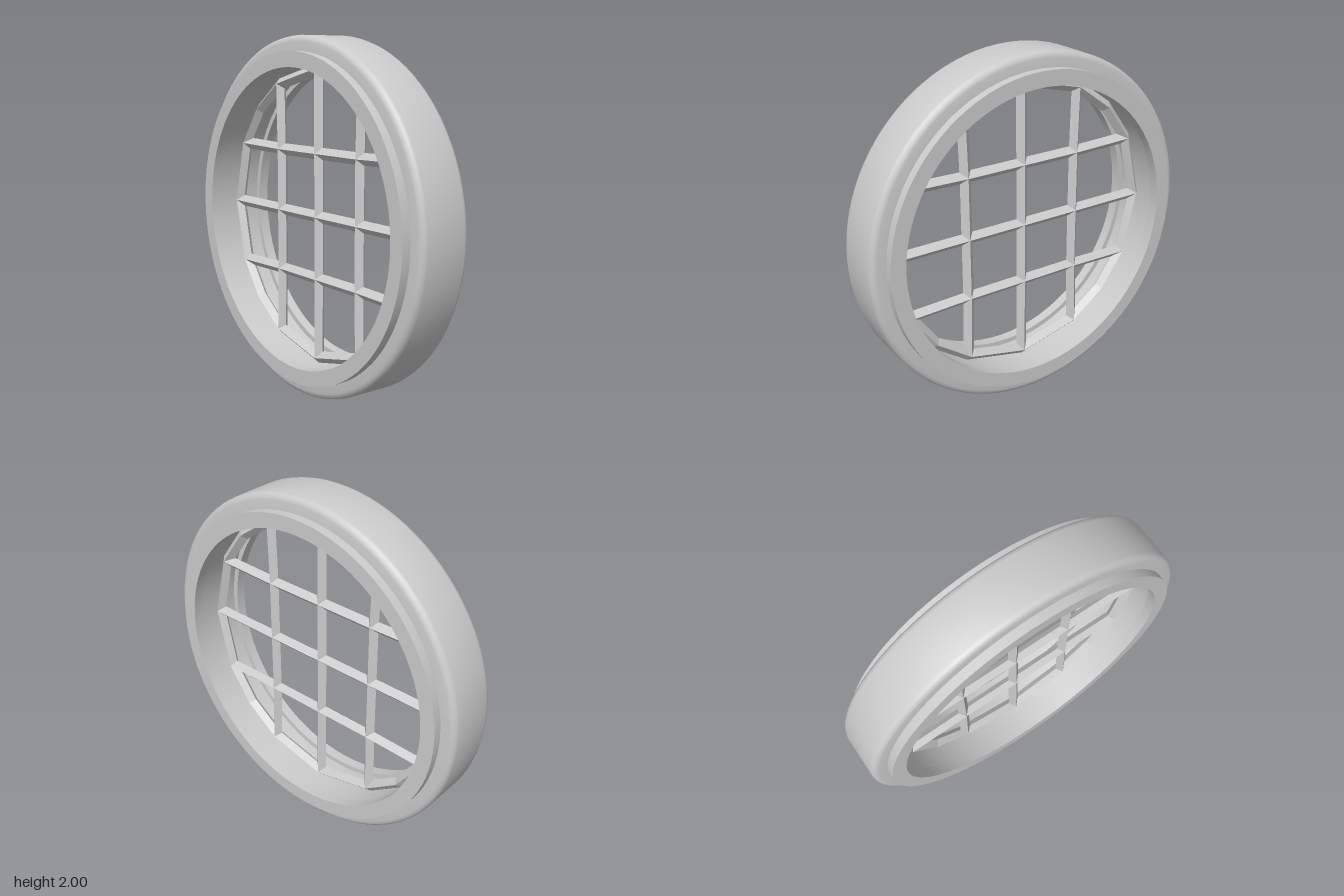
import * as THREE from 'three';
import { toCreasedNormals } from 'three/addons/utils/BufferGeometryUtils.js';

const SEGMENTS = 96;
const BAR = 0.034; // half width of a lattice bar
const material = new THREE.MeshStandardMaterial({ color: 0xcccccc });
const flatMaterial = new THREE.MeshStandardMaterial({ color: 0xcccccc, flatShading: true });

// Ring turned around z from a closed counterclockwise profile of [radius, depth]
function ring(name, profile) {
  const points = [...profile, profile[0]].map(([r, d]) => new THREE.Vector2(r, d));
  const geometry = new THREE.LatheGeometry(points, SEGMENTS).rotateX(Math.PI / 2);
  const mesh = new THREE.Mesh(toCreasedNormals(geometry, 0.6), material);
  mesh.name = name;
  return mesh;
}

// Diamond-section bar between two points of the lattice plane
function bar(name, a, b) {
  const direction = b.clone().sub(a);
  const geometry = new THREE.CylinderGeometry(BAR, BAR, direction.length(), 4, 1);
  const mesh = new THREE.Mesh(geometry, flatMaterial);
  mesh.position.set((a.x + b.x) / 2, (a.y + b.y) / 2, 0);
  mesh.rotation.z = Math.atan2(direction.y, direction.x) - Math.PI / 2;
  mesh.name = name;
  return mesh;
}

// Mitred diamond-section frame through a closed loop of points
function rimFrame(loop) {
  const section = [[BAR, 0], [0, BAR], [-BAR, 0], [0, -BAR]];
  const positions = [];
  const index = [];
  loop.forEach((p, i) => {
    const outward = p.clone().normalize();
    section.forEach(([r, z]) => positions.push(p.x + outward.x * r, p.y + outward.y * r, z));
    const next = (i + 1) % loop.length;
    for (let k = 0; k < 4; k++) {
      const m = (k + 1) % 4;
      const a = i * 4 + k, b = next * 4 + k, c = next * 4 + m, d = i * 4 + m;
      index.push(a, b, c, a, c, d);
    }
  });
  const geometry = new THREE.BufferGeometry();
  geometry.setAttribute('position', new THREE.Float32BufferAttribute(positions, 3));
  geometry.setIndex(index);
  geometry.computeVertexNormals();
  const mesh = new THREE.Mesh(geometry, flatMaterial);
  mesh.name = 'latticeRim';
  return mesh;
}

export function createModel() {
  const model = new THREE.Group();
  model.name = 'roundWindow';
  const body = new THREE.Group();
  body.name = 'windowBody';
  body.position.y = 1;
  model.add(body);

  // Main ring with rounded outer edges
  const bevel = 0.035, half = 0.155;
  const profile = [[0.86, -half]];
  for (const side of [-1, 1]) {
    for (let i = 0; i <= 3; i++) {
      const t = (side < 0 ? i - 3 : i) * Math.PI / 6;
      profile.push([1 - bevel + bevel * Math.cos(t), side * (half - bevel) + bevel * Math.sin(t)]);
    }
  }
  profile.push([0.86, half]);
  body.add(ring('outerRing', profile));

  // Raised trim on both faces, overhanging the opening
  for (const [name, z0, z1] of [['frontTrim', 0.145, 0.205], ['backTrim', -0.205, -0.145]]) {
    body.add(ring(name, [[0.83, z0], [0.915, z0], [0.915, z1], [0.83, z1]]));
  }

  // Lattice: a 5 x 5 grid whose border is pushed out onto a circle
  const lattice = new THREE.Group();
  lattice.name = 'lattice';
  body.add(lattice);
  const node = (i, j) => {
    const p = new THREE.Vector2(i, j);
    const onBorder = Math.max(Math.abs(i), Math.abs(j)) === 2;
    return onBorder ? p.setLength(0.82) : p.multiplyScalar(0.357);
  };
  for (let j = -1; j <= 1; j++) {
    for (let i = -2; i < 2; i++) {
      lattice.add(bar('horizontalBar', node(i, j), node(i + 1, j)));
      lattice.add(bar('verticalBar', node(j, i), node(j, i + 1)));
    }
  }

  // Border nodes in counterclockwise order
  const loop = [];
  for (let k = -2; k < 2; k++) loop.push(node(2, k));
  for (let k = 2; k > -2; k--) loop.push(node(k, 2));
  for (let k = 2; k > -2; k--) loop.push(node(-2, k));
  for (let k = -2; k < 2; k++) loop.push(node(k, -2));
  lattice.add(rimFrame(loop));

  return model;
}
